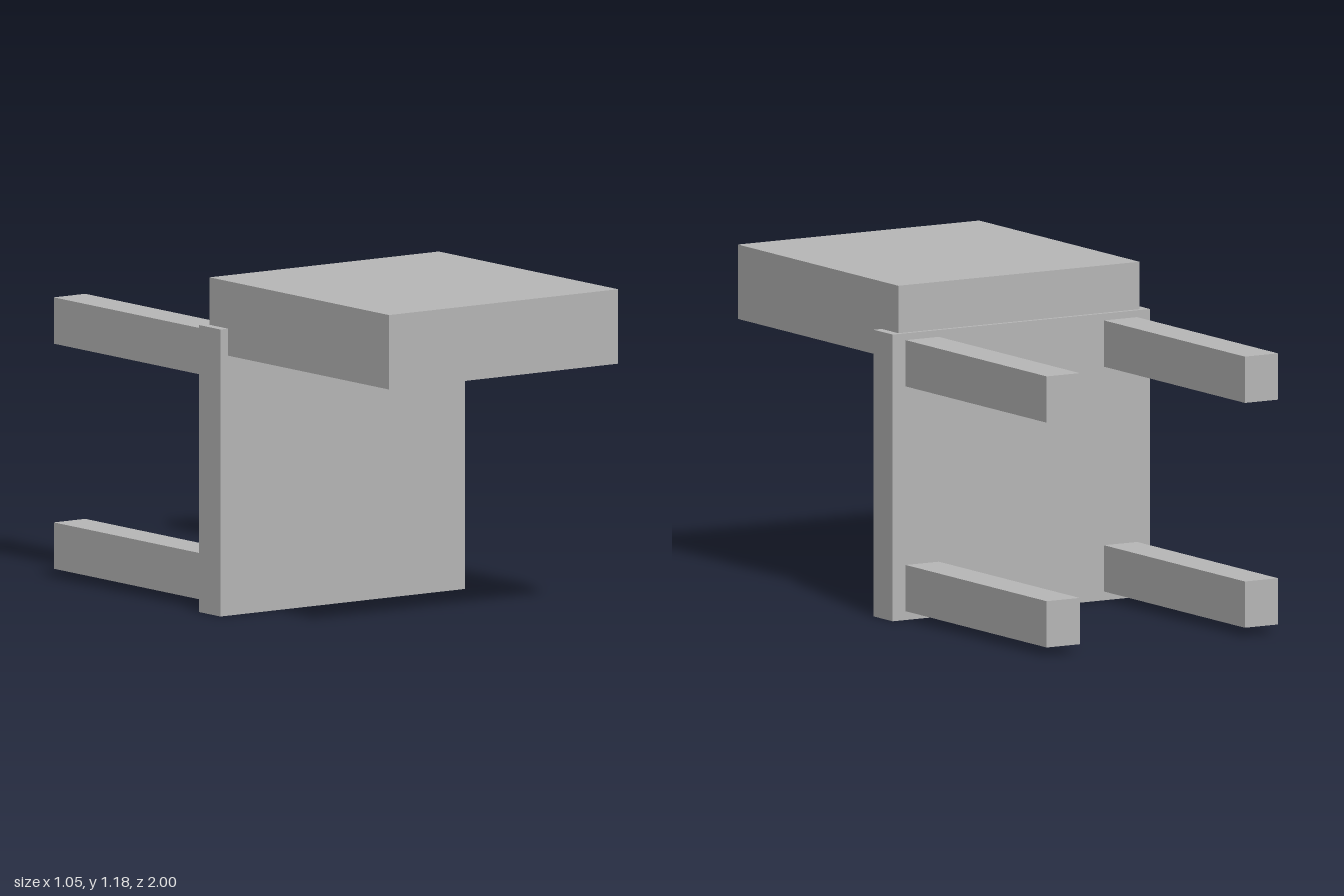
import * as THREE from 'three';

export function createModel() {
  const model = new THREE.Group();
  const grey = new THREE.MeshStandardMaterial({ color: 0xb8b8b8 });
  grey.name = 'plain grey';

  // Axis-aligned block given by its min and max on each axis
  const block = (name, [x0, x1], [y0, y1], [z0, z1]) => {
    const mesh = new THREE.Mesh(new THREE.BoxGeometry(x1 - x0, y1 - y0, z1 - z0), grey);
    mesh.position.set((x0 + x1) / 2, (y0 + y1) / 2, (z0 + z1) / 2);
    mesh.name = name;
    model.add(mesh);
  };

  // Upright seat panel and the thick backrest slab projecting forward
  block('seat', [-0.527, 0.527], [0, 1.01], [-0.072, 0.053]);
  block('backrest', [-0.494, 0.494], [0.915, 1.177], [-0.056, 1]);

  // Four legs projecting backward
  for (const [side, x] of [['left', [0.338, 0.474]], ['right', [-0.474, -0.338]]]) {
    block(`${side}UpperLeg`, x, [0.823, 0.986], [-1, -0.072]);
    block(`${side}LowerLeg`, x, [0.031, 0.194], [-1, -0.072]);
  }
  return model;
}
